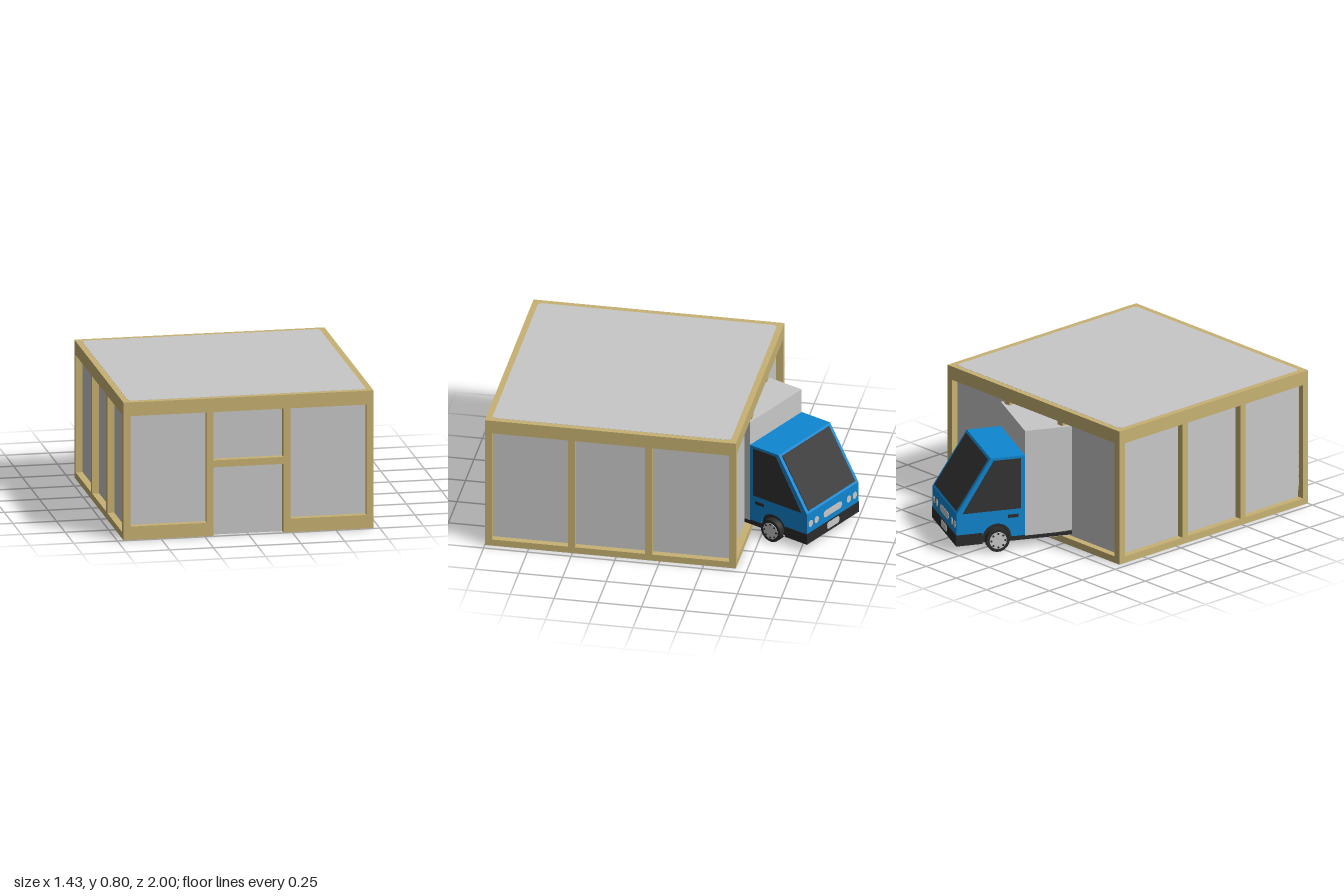
import * as THREE from 'three';

const mat = (name, color, side = THREE.FrontSide) => {
  const m = new THREE.MeshStandardMaterial({ color, side });
  m.name = name;
  return m;
};

export function createModel() {
  const tan = mat('tan frame', 0xc8b273);
  const light = mat('light grey panel', 0xc8c8c8);
  const blue = mat('blue paint', 0x0f86d0);
  const dark = mat('dark glass', 0x333333);
  const black = mat('black trim', 0x2b2b2b);

  const add = (parent, name, geo, material, x = 0, y = 0, z = 0) => {
    const m = new THREE.Mesh(geo, material);
    m.name = name;
    m.position.set(x, y, z);
    parent.add(m);
    return m;
  };
  // Box given by its two extreme corners
  const block = (parent, name, material, [x0, y0, z0], [x1, y1, z1]) =>
    add(parent, name, new THREE.BoxGeometry(x1 - x0, y1 - y0, z1 - z0), material,
      (x0 + x1) / 2, (y0 + y1) / 2, (z0 + z1) / 2);
  const poly = pts => new THREE.Shape(pts.map(p => new THREE.Vector2(...p)));
  const rect = (x0, y0, x1, y1) => poly([[x0, y0], [x1, y0], [x1, y1], [x0, y1]]);
  const extrude = (shape, depth) =>
    new THREE.ExtrudeGeometry(shape, { depth, bevelEnabled: false, curveSegments: 16 });
  // Side profile drawn in (z, y), extruded across x and centred on it
  const across = (shape, width) =>
    extrude(shape, width).rotateY(-Math.PI / 2).translate(width / 2, 0, 0);
  const roundRect = (w, h, r) => {
    const s = new THREE.Shape();
    s.absarc(w / 2 - r, h / 2 - r, r, 0, Math.PI / 2);
    s.absarc(-w / 2 + r, h / 2 - r, r, Math.PI / 2, Math.PI);
    s.absarc(-w / 2 + r, -h / 2 + r, r, Math.PI, 1.5 * Math.PI);
    s.absarc(w / 2 - r, -h / 2 + r, r, 1.5 * Math.PI, 2 * Math.PI);
    s.closePath();
    return s;
  };

  const model = new THREE.Group();
  model.name = 'building with truck';

  // ---- Building ----
  const building = new THREE.Group();
  building.name = 'building';
  model.add(building);
  const X = 0.715, Z0 = -0.435, Z1 = 1, H = 0.8, T = 0.04, B = 0.002;

  block(building, 'wallPanels', light, [-X + T, B, Z0 + T], [X - T, H - 0.015, Z1 - T]);

  // Front frame with the door opening cut out of its outline
  const front = poly([[-X, B], [-0.2, B], [-0.2, 0.4], [0.2, 0.4], [0.2, B], [X, B], [X, H], [-X, H]]);
  front.holes.push(rect(-0.68, 0.08, -0.24, 0.72), rect(0.24, 0.08, 0.68, 0.72), rect(-0.2, 0.44, 0.2, 0.72));
  add(building, 'frontFrame', extrude(front, T), tan, 0, 0, Z1 - T);

  // Side frames with three bays each
  for (const s of [-1, 1]) {
    const side = rect(Z0, B, Z1, H);
    for (const [a, b] of [[-0.395, 0.045], [0.085, 0.485], [0.525, 0.965]])
      side.holes.push(rect(a, 0.04, b, 0.72));
    add(building, 'sideFrame', across(side, T), tan, s * (X - T / 2), 0, 0);
  }

  // Back frame with one wide bay and broken mullion stubs
  const back = rect(-X, B, X, H);
  back.holes.push(rect(-0.68, 0.04, 0.68, 0.72));
  add(building, 'backFrame', extrude(back, T), tan, 0, 0, Z0);
  for (const s of [-1, 1])
    block(building, 'mullionStub', tan, [s * 0.22 - 0.02, 0.695, Z0], [s * 0.22 + 0.02, 0.725, Z0 + T]);

  // Roof with a light inset, and floor notched at the door
  block(building, 'roofFrame', tan, [-X, H - 0.012, Z0], [X, H, Z1]);
  add(building, 'roofPanel', extrude(roundRect(1.36, 1.365, 0.025), 0.004).rotateX(-Math.PI / 2),
    light, 0, H - 0.003, (Z0 + Z1) / 2);
  const e = 0.001;
  const floor = poly([[-X + e, Z0 + e], [X - e, Z0 + e], [X - e, Z1 - e], [0.2, Z1 - e],
    [0.2, Z1 - T], [-0.2, Z1 - T], [-0.2, Z1 - e], [-X + e, Z1 - e]]);
  add(building, 'floor', extrude(floor, 0.004).rotateX(Math.PI / 2), light, 0, 0.004, 0);

  // ---- Truck, facing its local +z, with the cab's rear wall at z = 0 ----
  const truck = new THREE.Group();
  truck.name = 'truck';
  truck.position.set(0.06, 0, -0.536);
  truck.rotation.y = Math.PI - 0.4557;
  model.add(truck);
  const W = 0.24, wheelZ = 0.165, wheelY = 0.07;

  block(truck, 'cargoBox', light, [-W, 0.072, -0.42], [W, 0.7, 0]);
  block(truck, 'chassis', black, [-W, 0.05, -0.42], [W, 0.078, 0.09]);
  block(truck, 'underside', light, [-W + 0.004, 0.046, -0.42], [W - 0.004, 0.052, 0.395]);
  block(truck, 'wheelHousing', black, [-W + 0.01, 0.052, 0.02], [W - 0.01, 0.17, 0.3]);

  // Cab side profile with wheel arch
  const cab = new THREE.Shape();
  cab.moveTo(0, 0.076);
  cab.lineTo(wheelZ - 0.085, 0.076);
  cab.absarc(wheelZ, 0.076, 0.085, Math.PI, 0, true);
  cab.lineTo(0.4, 0.076);
  cab.lineTo(0.4, 0.24);
  cab.lineTo(0.2, 0.555);
  cab.lineTo(0, 0.555);
  cab.closePath();
  add(truck, 'cab', across(cab, 2 * W), blue);
  block(truck, 'bumper', black, [-W - 0.003, 0.05, 0.25], [W + 0.003, 0.115, 0.403]);

  // Windscreen lying on the sloped face
  const screen = add(truck, 'windscreen', new THREE.BoxGeometry(0.435, 0.345, 0.008), dark, 0, 0.3975, 0.3);
  screen.rotation.x = -Math.atan2(0.2, 0.315);

  // Side windows, door handles and wheels
  const sideWindow = poly([[0.025, 0.24], [0.365, 0.24], [0.183, 0.54], [0.025, 0.54]]);
  const disc = (r, depth) => new THREE.CylinderGeometry(r, r, depth, 28).rotateZ(Math.PI / 2);
  for (const s of [-1, 1]) {
    add(truck, 'sideWindow', across(sideWindow, 0.006), dark, s * W);
    block(truck, 'doorHandle', black, [s * W - 0.004, 0.19, 0.04], [s * W + 0.004, 0.208, 0.1]);
    const wheel = new THREE.Group();
    wheel.name = 'frontWheel';
    wheel.position.set(s * (W + 0.002), wheelY, wheelZ);
    truck.add(wheel);
    add(wheel, 'tyre', disc(0.068, 0.05), black);
    add(wheel, 'hub', disc(0.05, 0.006), light, s * 0.025);
    for (let i = 0; i < 8; i++) {
      const a = i * Math.PI / 4;
      add(wheel, 'hubSlot', disc(0.006, 0.004), black, s * 0.0275, 0.041 * Math.sin(a), 0.041 * Math.cos(a));
    }
  }

  // Grille, headlights and plate on the nose
  const nose = (name, w, h, r, x, y, z) =>
    add(truck, name, extrude(roundRect(w, h, r), 0.004), light, x, y, z);
  nose('grille', 0.17, 0.042, 0.0205, 0, 0.17, 0.398);
  nose('plate', 0.11, 0.042, 0.012, 0, 0.087, 0.401);
  for (const s of [-1, 1])
    for (const x of [0.15, 0.205]) nose('headlight', 0.038, 0.042, 0.0185, s * x, 0.17, 0.398);

  return model;
}
